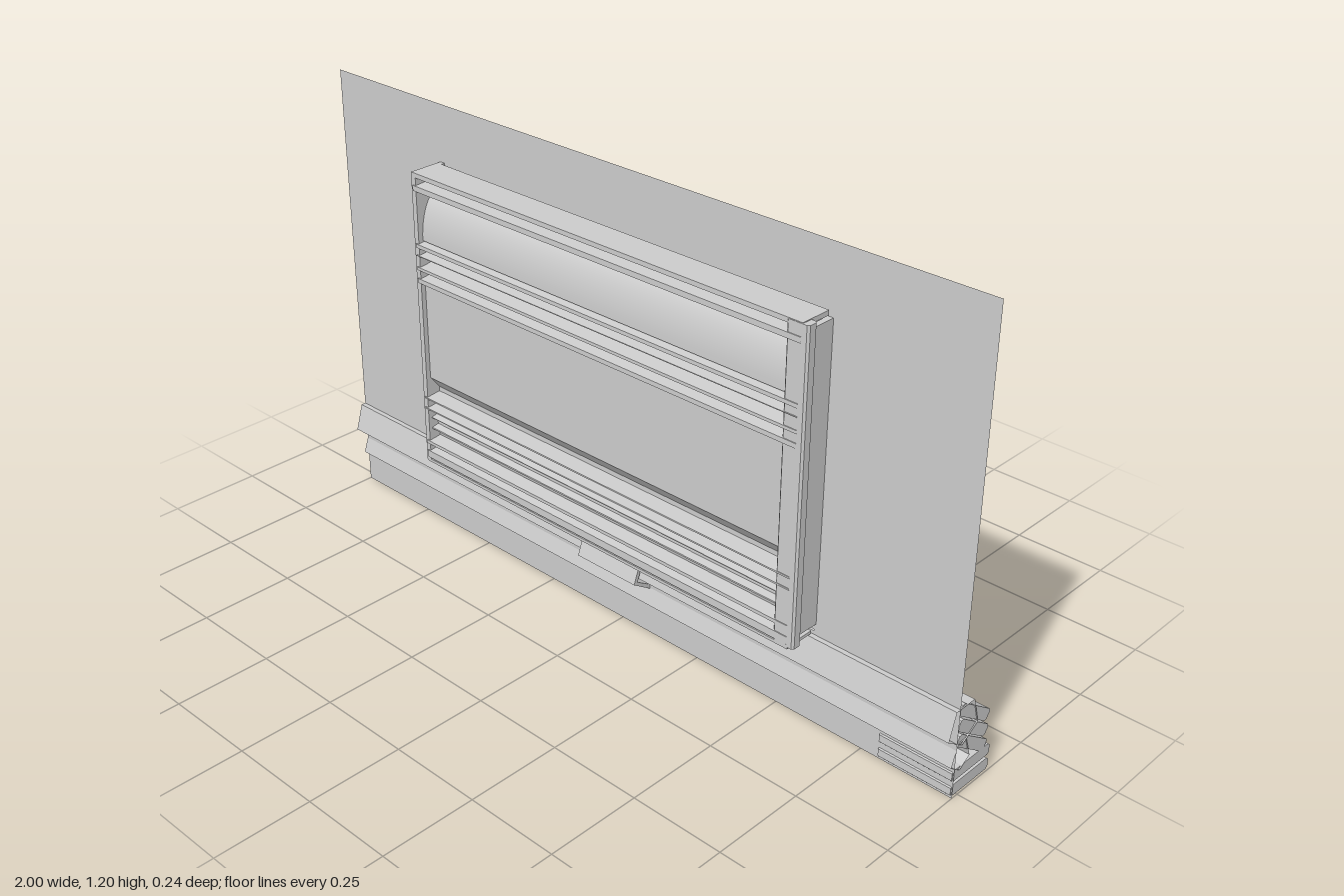
import * as THREE from 'three';
import { toCreasedNormals } from 'three/addons/utils/BufferGeometryUtils.js';

const material = new THREE.MeshStandardMaterial({ color: 0xcccccc, side: THREE.DoubleSide });

function add(parent, name, geometry) {
  const mesh = new THREE.Mesh(geometry, material);
  mesh.name = name;
  parent.add(mesh);
  return mesh;
}

// Box given by its limits on each axis
function block(parent, name, x0, x1, y0, y1, z0, z1) {
  const mesh = add(parent, name, new THREE.BoxGeometry(x1 - x0, y1 - y0, z1 - z0));
  mesh.position.set((x0 + x1) / 2, (y0 + y1) / 2, (z0 + z1) / 2);
  return mesh;
}

// Thin sheet: a [z, y] profile drawn along x
function sheet(profile, x0, x1) {
  const position = [];
  for (let i = 0; i < profile.length - 1; i++) {
    const [za, ya] = profile[i], [zb, yb] = profile[i + 1];
    position.push(x0, ya, za, x1, ya, za, x1, yb, zb, x0, ya, za, x1, yb, zb, x0, yb, zb);
  }
  const geometry = new THREE.BufferGeometry();
  geometry.setAttribute('position', new THREE.Float32BufferAttribute(position, 3));
  return toCreasedNormals(geometry, 0.4);
}

// Solid bar: a closed [z, y] outline extruded along x, with an optional hole
function bar(outline, x0, x1, hole) {
  const points = (list) => list.map(([z, y]) => new THREE.Vector2(-z, y));
  const shape = new THREE.Shape(points(outline));
  if (hole) shape.holes.push(new THREE.Path(points(hole)));
  const geometry = new THREE.ExtrudeGeometry(shape, { depth: x1 - x0, bevelEnabled: false });
  return geometry.rotateY(Math.PI / 2).translate(x0, 0, 0);
}

// Five-sided trim section: flat top, flared flanks, pointed underside
const trim = (top, side, yTop, ySide, yTip) =>
  [[-top, yTop], [top, yTop], [side, ySide], [0, yTip], [-side, ySide]];

export function createModel() {
  const model = new THREE.Group();
  model.name = 'wallWithShutter';
  const wallZ = 0.02;

  // Wall with the window opening
  const wallShape = new THREE.Shape([[-1, 0], [1, 0], [1, 1.2], [-1, 1.2]].map((p) => new THREE.Vector2(...p)));
  wallShape.holes.push(new THREE.Path(
    [[-0.615, 0.25], [-0.615, 1.04], [0.6, 1.04], [0.6, 0.25]].map((p) => new THREE.Vector2(...p))));
  add(model, 'wall', new THREE.ShapeGeometry(wallShape)).position.z = wallZ;

  // Frame around the opening
  const frame = new THREE.Group();
  frame.name = 'windowFrame';
  model.add(frame);
  block(frame, 'leftJamb', 0.59, 0.605, 0.27, 1.03, wallZ, 0.1);
  block(frame, 'rightJamb', -0.622, -0.607, 0.25, 1.05, wallZ, 0.115);
  block(frame, 'head', -0.62, 0.6, 1.038, 1.05, 0.03, 0.115);
  block(frame, 'sill', -0.62, 0.6, 0.247, 0.255, 0.03, 0.115);

  // Front and back posts with chamfered corners
  for (const [name, z0, z1] of [['backPost', -0.013, 0.019], ['frontPost', 0.087, 0.116]]) {
    const c = 0.005;
    const post = new THREE.Shape([
      [0.558 + c, -z0], [0.617 - c, -z0], [0.617, -z0 - c], [0.617, -z1 + c],
      [0.617 - c, -z1], [0.558 + c, -z1], [0.558, -z1 + c], [0.558, -z0 - c],
    ].map((p) => new THREE.Vector2(...p)));
    const geometry = new THREE.ExtrudeGeometry(post, { depth: 0.795, bevelEnabled: false });
    add(frame, name, geometry.rotateX(-Math.PI / 2).translate(0, 0.253, 0));
  }

  // Shutter: ribs low down, a flat field, more ribs, then a cove
  const profile = [[0.1, 0.25]];
  const rib = (y0, y1, out = 0.118, back = 0.09) =>
    profile.push([back, y0], [out, y0 + 0.004], [out, y1 - 0.004], [back, y1]);
  rib(0.257, 0.285);
  rib(0.298, 0.315, 0.118, 0.08);
  rib(0.338, 0.35, 0.105, 0.085);
  rib(0.37, 0.38, 0.105, 0.085);
  rib(0.4, 0.412, 0.118, 0.075);
  rib(0.43, 0.442, 0.118, 0.075);
  profile.push([0.075, 0.455], [0.102, 0.49], [0.102, 0.75]);
  rib(0.755, 0.775, 0.118, 0.08);
  rib(0.79, 0.806, 0.118, 0.08);
  rib(0.828, 0.838, 0.118, 0.08);
  rib(0.85, 0.868, 0.118, 0.09);
  for (let i = 0; i <= 12; i++) {
    const a = (i / 12) * Math.PI / 2;
    profile.push([0.042 + 0.06 * Math.cos(a), 0.87 + 0.125 * Math.sin(a)]);
  }
  profile.push([0.042, 1.0]);
  rib(1.0, 1.022, 0.118, 0.06);
  profile.push([0.085, 1.04]);
  add(model, 'shutter', sheet(profile, -0.615, 0.598));

  // Two trim rails running the full width, open at the ends
  const rails = [trim(0.033, 0.054, 0.24, 0.17, 0.135), trim(0.015, 0.034, 0.145, 0.09, 0.067)];
  rails.forEach((section, i) =>
    add(model, i ? 'lowerRail' : 'upperRail', sheet([...section, section[0]], -1, 1)));

  // Hollow sleeve around the upper rail
  add(model, 'sleeve', bar(trim(0.045, 0.077, 0.251, 0.165, 0.115), -0.1, 0.093,
    trim(0.037, 0.065, 0.241, 0.168, 0.128)));

  // Chamfered slabs: two flat, three leaning on top
  const slabs = new THREE.Group();
  slabs.name = 'slabStack';
  model.add(slabs);
  const slab = (name, width, height, y, z, tilt) => {
    const w = width / 2, h = height / 2, c = 0.006;
    const outline = [[-w + c, -h], [w - c, -h], [w, -h + c], [w, h - c],
      [w - c, h], [-w + c, h], [-w, h - c], [-w, -h + c]];
    const mesh = add(slabs, name, bar(outline, 0.8, 0.997));
    mesh.position.set(0, y, z);
    mesh.rotation.x = tilt;
  };
  [0.018, 0.058].forEach((y) => slab('flatSlab', 0.142, 0.031, y, -0.048, 0));
  [0.115, 0.156, 0.198].forEach((y) => slab('leaningSlab', 0.135, 0.03, y, -0.043, -0.6));

  return model;
}
